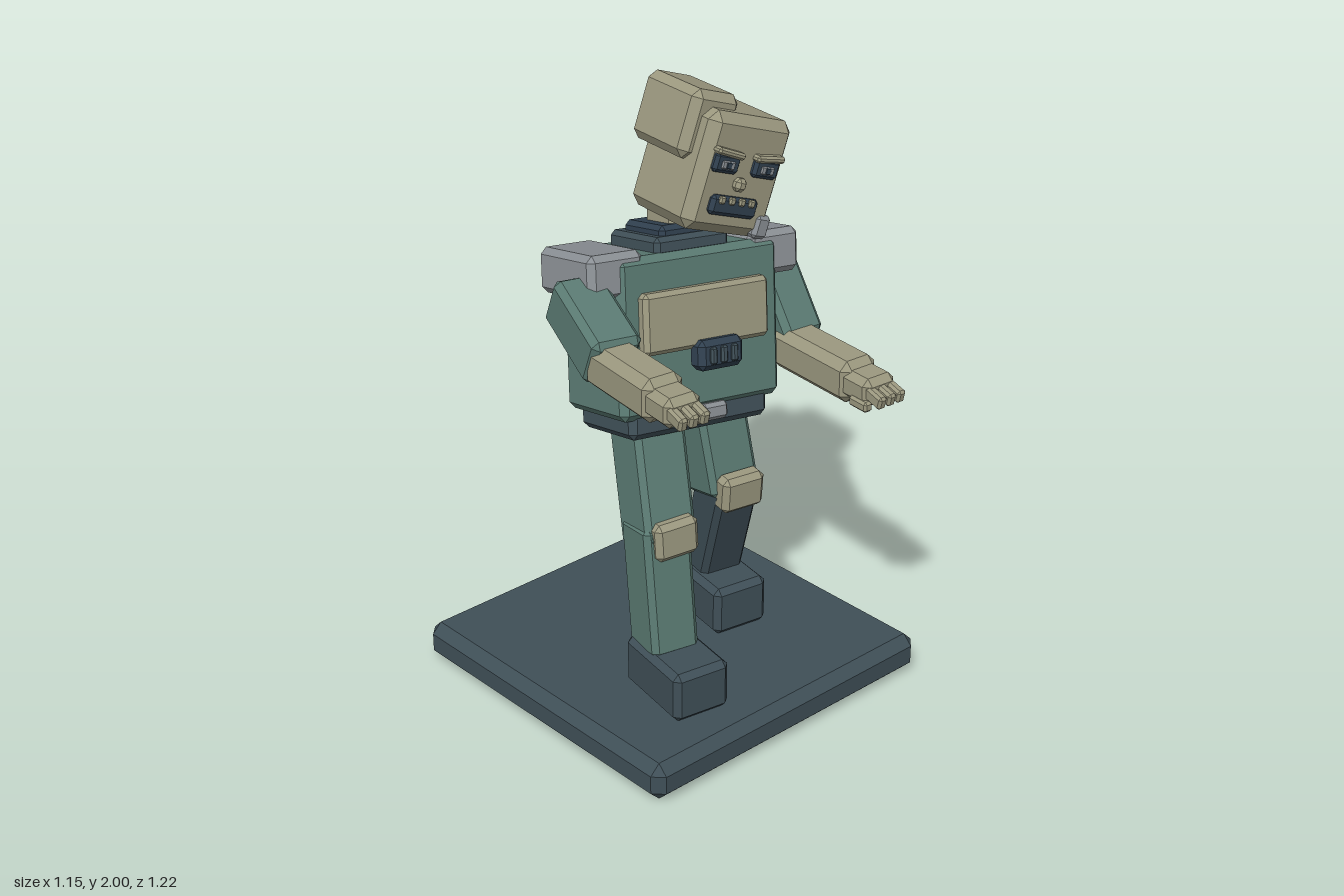
import * as THREE from 'three';
import { ConvexGeometry } from 'three/addons/geometries/ConvexGeometry.js';

const DEG = Math.PI / 180;

function material(name, color) {
  const m = new THREE.MeshStandardMaterial({ color });
  m.name = name;
  return m;
}

// Box with every edge and corner cut flat by c
function chamferBox(w, h, d, c) {
  const points = [];
  for (const x of [-1, 1]) for (const y of [-1, 1]) for (const z of [-1, 1]) {
    const [a, b, e] = [w / 2, h / 2, d / 2];
    points.push(
      new THREE.Vector3(x * a, y * (b - c), z * (e - c)),
      new THREE.Vector3(x * (a - c), y * b, z * (e - c)),
      new THREE.Vector3(x * (a - c), y * (b - c), z * e));
  }
  return new ConvexGeometry(points);
}

function addBox(parent, name, mat, size, pos, c = 0.018) {
  const mesh = new THREE.Mesh(chamferBox(...size, c), mat);
  mesh.name = name;
  mesh.position.set(...pos);
  parent.add(mesh);
  return mesh;
}

function addGroup(parent, name, pos, rot) {
  const g = new THREE.Group();
  g.name = name;
  g.position.set(...pos);
  g.rotation.set(rot[0] * DEG, rot[1] * DEG, rot[2] * DEG);
  parent.add(g);
  return g;
}

// Box running between two points; its local y points from a to b
function addLimb(parent, name, mat, a, b, w, d, yaw = 0, c = 0.018) {
  const from = new THREE.Vector3(...a), to = new THREE.Vector3(...b);
  const yAxis = to.clone().sub(from);
  const length = yAxis.length();
  yAxis.normalize();
  const side = new THREE.Vector3(Math.cos(yaw * DEG), 0, -Math.sin(yaw * DEG));
  const xAxis = side.addScaledVector(yAxis, -side.dot(yAxis)).normalize();
  const zAxis = xAxis.clone().cross(yAxis);
  const g = new THREE.Group();
  g.name = name + 'Group';
  g.position.copy(from).add(to).multiplyScalar(0.5);
  g.quaternion.setFromRotationMatrix(new THREE.Matrix4().makeBasis(xAxis, yAxis, zAxis));
  parent.add(g);
  addBox(g, name, mat, [w, length, d], [0, 0, 0], c);
  return { group: g, length };
}

export function createModel() {
  const teal = material('teal paint', 0x5a7a72);
  const beige = material('beige plastic', 0x9b987f);
  const grey = material('grey metal', 0x8b9095);
  const slate = material('dark slate', 0x3f4f57);
  const navy = material('dark navy', 0x30404f);

  const model = new THREE.Group();
  model.name = 'robot';

  // Stand
  addBox(model, 'base', slate, [1.15, 0.13, 1.15], [0, 0.065, -0.03], 0.034);

  // Feet
  for (const [name, x, z] of [['rightFoot', -0.244, 0.267], ['leftFoot', 0.192, -0.017]]) {
    addBox(model, name, slate, [0.2, 0.17, 0.305], [x, 0.215, z], 0.02).rotation.y = -10 * DEG;
  }

  // Legs
  addLimb(model, 'rightThigh', teal, [-0.14, 1.04, 0.0], [-0.21, 0.62, 0.15], 0.18, 0.18, -10);
  addLimb(model, 'rightShin', teal, [-0.215, 0.7, 0.135], [-0.235, 0.27, 0.2], 0.165, 0.165, -12);
  addLimb(model, 'leftThigh', teal, [0.155, 1.04, -0.06], [0.16, 0.63, 0.04], 0.18, 0.19, -10);
  addLimb(model, 'leftShin', slate, [0.155, 0.69, 0.075], [0.215, 0.26, -0.08], 0.155, 0.16, -12);
  addBox(model, 'rightKneePad', beige, [0.155, 0.125, 0.07], [-0.212, 0.665, 0.215], 0.018).rotation.set(-4 * DEG, -10 * DEG, 0);
  addBox(model, 'leftKneePad', beige, [0.155, 0.125, 0.07], [0.145, 0.665, 0.135], 0.018).rotation.set(4 * DEG, -10 * DEG, 0);

  // Leaning torso
  const torso = addGroup(model, 'torso', [0.01, 1.24, -0.035], [-12, -4.5, -8]);
  addBox(torso, 'chest', teal, [0.61, 0.5, 0.31], [0, 0, 0], 0.022);
  addBox(torso, 'waist', slate, [0.53, 0.1, 0.28], [0, -0.265, 0], 0.02);
  addBox(torso, 'buckle', grey, [0.1, 0.055, 0.05], [0.035, -0.262, 0.145], 0.012);
  addBox(torso, 'chestPanel', beige, [0.475, 0.19, 0.05], [0, 0.046, 0.165], 0.014);
  addBox(torso, 'speaker', navy, [0.17, 0.095, 0.07], [0.025, -0.07, 0.19], 0.018);
  for (let i = -1; i <= 1; i++) {
    addBox(torso, 'speakerBar', slate, [0.024, 0.055, 0.02], [0.025 + i * 0.04, -0.07, 0.226], 0.006);
  }
  for (const s of [-1, 1]) {
    addBox(torso, s > 0 ? 'leftShoulderPad' : 'rightShoulderPad', grey,
      [0.2, 0.14, 0.28], [s * 0.3, 0.2, 0.005], 0.02);
  }
  addBox(torso, 'collar', slate, [0.28, 0.06, 0.25], [-0.01, 0.265, 0.01], 0.015);
  addBox(torso, 'collarRing', navy, [0.22, 0.05, 0.2], [-0.005, 0.3, 0.015], 0.015);
  addBox(torso, 'neck', beige, [0.15, 0.13, 0.14], [0.01, 0.345, 0.03], 0.015);

  // Arms: upper arm, forearm, hand and fingers
  const arms = [
    ['right', [-0.355, 1.434, -0.08], [-0.42, 1.32, 0.19], [-0.418, 1.316, 0.13], [-0.462, 1.316, 0.465], 0.165],
    ['left', [0.41, 1.325, -0.04], [0.395, 1.105, 0.12], [0.378, 1.105, 0.09], [0.346, 1.105, 0.465], 0.15],
  ];
  for (const [side, shoulder, elbow, start, wrist, width] of arms) {
    addLimb(model, side + 'UpperArm', teal, shoulder, elbow, width, 0.165, -6, 0.02);
    const { group, length } = addLimb(model, side + 'Forearm', beige, start, wrist, 0.14, 0.14, -6, 0.028);
    const end = length / 2;
    addBox(group, side + 'Hand', beige, [0.125, 0.13, 0.095], [0, end + 0.025, 0], 0.022);
    for (let i = -1; i <= 1; i++) {
      addBox(group, side + 'Finger', beige, [0.032, 0.08, 0.045], [i * 0.038, end + 0.1, 0.002], 0.008)
        .rotation.x = 14 * DEG;
    }
    const inward = side === 'right' ? 1 : -1;
    addBox(group, side + 'Thumb', beige, [0.034, 0.08, 0.035], [inward * 0.055, end + 0.055, 0.035], 0.008);
  }

  // Tilted head with an offset crest
  const head = addGroup(model, 'head', [0.167, 1.727, -0.03], [0, -5, -20]);
  addBox(head, 'skull', beige, [0.335, 0.37, 0.3], [0, 0, 0], 0.032);
  addBox(head, 'crest', beige, [0.185, 0.215, 0.265], [-0.113, 0.121, -0.045], 0.026);
  addBox(head, 'jawBolt', grey, [0.06, 0.075, 0.14], [0.134, -0.145, 0.09], 0.012);

  // Face
  for (const s of [-1, 1]) {
    const x = s * 0.08 - 0.004;
    addBox(head, 'eyeSocket', navy, [0.1, 0.06, 0.03], [x, 0.037, 0.153], 0.01);
    addBox(head, 'eye', grey, [0.052, 0.026, 0.012], [x, 0.034, 0.167], 0.004);
    addBox(head, 'pupil', navy, [0.02, 0.02, 0.006], [x, 0.034, 0.173], 0.002);
    addBox(head, 'brow', beige, [0.11, 0.022, 0.04], [x, 0.07, 0.158], 0.007).rotation.z = s * 5 * DEG;
  }
  addBox(head, 'nose', beige, [0.042, 0.042, 0.04], [-0.008, -0.022, 0.155], 0.012);
  addBox(head, 'mouth', navy, [0.19, 0.062, 0.03], [-0.008, -0.092, 0.153], 0.012);
  for (let i = 0; i < 4; i++) {
    addBox(head, 'tooth', beige, [0.024, 0.024, 0.016], [-0.068 + i * 0.04, -0.073, 0.167], 0.005);
  }

  return model;
}
